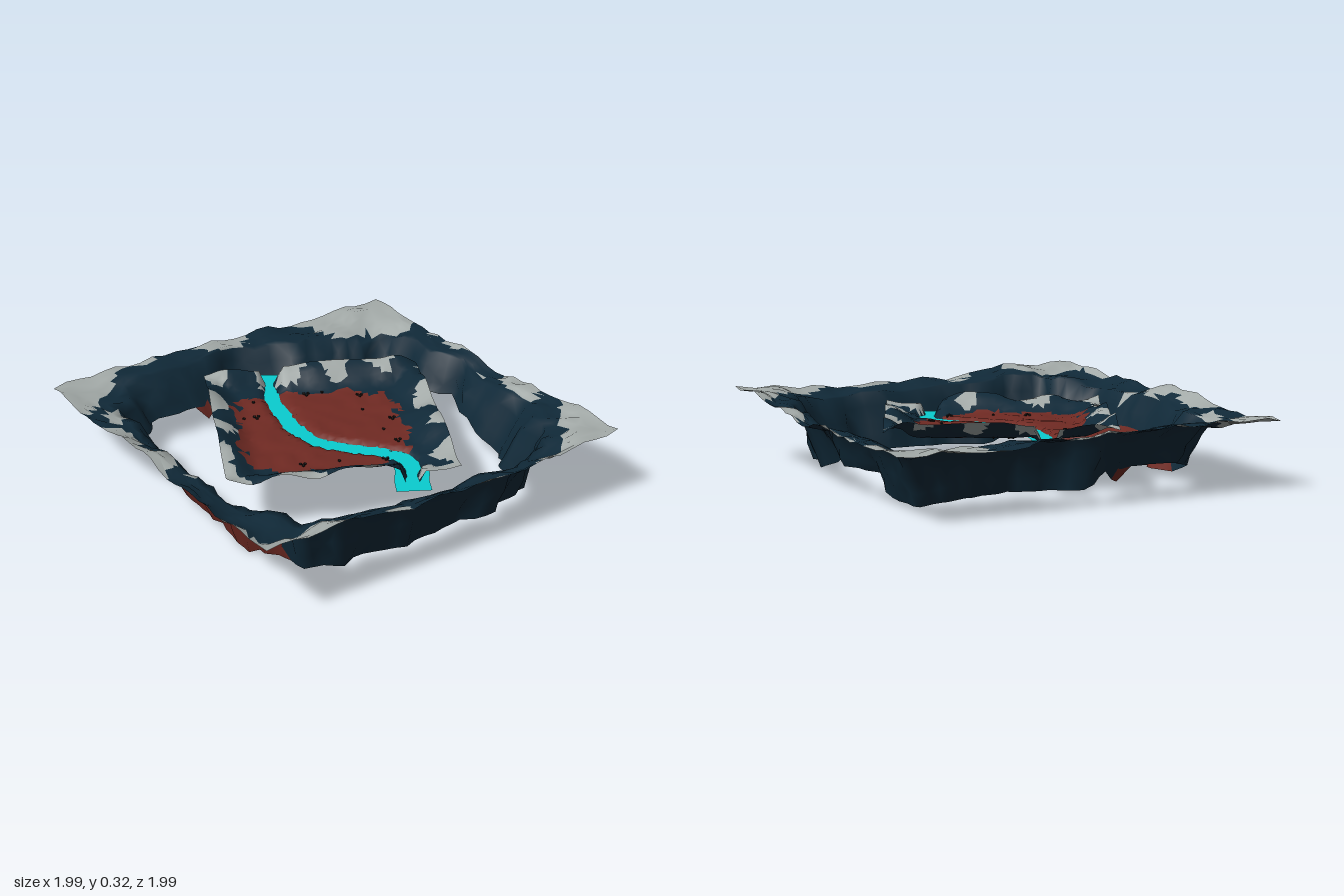
import * as THREE from 'three';

const COLORS = { soil: 0x102938, rock: 0xa3aaa8, clay: 0x702a23, water: 0x0acdd0, pebble: 0x14100f };

// Repeatable value noise, roughly -1..1
const hash = (i, j) => {
  const s = Math.sin(i * 127.1 + j * 311.7) * 43758.5453;
  return (s - Math.floor(s)) * 2 - 1;
};
function noise(x, z, freq) {
  const a = x * freq, b = z * freq, i = Math.floor(a), j = Math.floor(b);
  const fx = THREE.MathUtils.smoothstep(a - i, 0, 1), fz = THREE.MathUtils.smoothstep(b - j, 0, 1);
  const lerp = THREE.MathUtils.lerp;
  return lerp(lerp(hash(i, j), hash(i + 1, j), fx), lerp(hash(i, j + 1), hash(i + 1, j + 1), fx), fz);
}

const material = (key) => new THREE.MeshStandardMaterial({ color: COLORS[key], side: THREE.DoubleSide });

// Smooth sheet from rows of points, split into one mesh per ground colour
function terrain(name, rows, closed, classify) {
  const n = rows[0].length, pos = [], all = [], sets = { soil: [], rock: [], clay: [] };
  rows.forEach((r) => r.forEach((p) => pos.push(p.x, p.y, p.z)));
  const points = rows.flat();
  const add = (...tri) => {
    all.push(...tri);
    const c = new THREE.Vector3();
    tri.forEach((k) => c.addScaledVector(points[k], 1 / 3));
    sets[classify(c)].push(...tri);
  };
  for (let r = 0; r < rows.length - 1; r++) {
    for (let i = 0; i < (closed ? n : n - 1); i++) {
      const j = (i + 1) % n, a = r * n + i, b = r * n + j, c = a + n, d = b + n;
      if ((i + r) % 2) { add(a, c, b); add(b, c, d); } else { add(a, c, d); add(a, d, b); }
    }
  }
  const base = new THREE.BufferGeometry();
  base.setAttribute('position', new THREE.Float32BufferAttribute(pos, 3));
  base.setIndex(all);
  base.computeVertexNormals();
  const group = new THREE.Group();
  group.name = name;
  for (const key of Object.keys(sets)) {
    const g = new THREE.BufferGeometry();
    g.setAttribute('position', base.attributes.position);
    g.setAttribute('normal', base.attributes.normal);
    g.setIndex(sets[key]);
    const mesh = new THREE.Mesh(g, material(key));
    mesh.name = `${name}_${key}`;
    group.add(mesh);
  }
  return group;
}

// Outer cliff frame: turned square rim, dropping to a ragged lower edge
const HALF = 0.746, COS = 0.904, SIN = 0.427;
const LOWER_EDGE = [ // x, z, y
  [-0.03, -0.49, 0.03], [0.12, -0.55, 0.02], [0.3, -0.62, 0], [0.38, -0.52, 0.02], [0.43, -0.42, 0.09],
  [0.54, -0.35, 0.1], [0.55, -0.2, 0.1], [0.6, -0.03, 0.05], [0.66, 0, 0.03], [0.62, 0.14, 0.04],
  [0.69, 0.2, 0.03], [0.68, 0.28, 0.03], [0.55, 0.36, 0.03], [0.52, 0.43, 0.03], [0.38, 0.46, 0.03],
  [0, 0.62, 0.02], [-0.06, 0.7, 0.04], [-0.18, 0.72, 0.05], [-0.28, 0.57, 0.03], [-0.37, 0.49, 0],
  [-0.42, 0.34, 0.02], [-0.54, 0.1, 0.03], [-0.56, -0.04, 0.03], [-0.64, -0.12, 0.03], [-0.67, -0.21, 0.07],
  [-0.62, -0.33, 0.1], [-0.44, -0.4, 0.1], [-0.4, -0.42, 0.02], [-0.37, -0.46, 0.1], [-0.28, -0.58, 0.05],
  [-0.15, -0.53, 0.04],
].map(([x, z, y]) => ({ a: Math.atan2(z, x), r: Math.hypot(x, z), y })).sort((p, q) => p.a - q.a);

function lowerEdge(a) {
  const m = LOWER_EDGE.length;
  let k = LOWER_EDGE.findIndex((p) => p.a > a);
  if (k < 0) k = 0;
  const p = LOWER_EDGE[(k + m - 1) % m], q = LOWER_EDGE[k], turn = 2 * Math.PI;
  const t = ((a - p.a + turn) % turn) / ((q.a - p.a + turn) % turn);
  const r = THREE.MathUtils.lerp(p.r, q.r, t) + 0.015 * hash(Math.round(a * 60), 5);
  return new THREE.Vector3(r * Math.cos(a), THREE.MathUtils.lerp(p.y, q.y, t), r * Math.sin(a));
}

const toLocal = (p) => [p.x * COS - p.z * SIN, p.x * SIN + p.z * COS];

// Depth of the stony cover, measured inward from the rim's outer edge
function stoneReach(x, z) {
  const [u, v] = toLocal({ x, z });
  const corner = Math.max(0, Math.min(Math.abs(u), Math.abs(v)) - 0.4);
  const backCorner = Math.max(0, 1 - Math.hypot(x - 0.22, z + 0.8) / 0.32);
  return -0.03 + 0.6 * corner + 0.22 * backCorner + 0.18 * noise(x + 3, z, 8);
}
const rimInset = (x, z) => HALF - Math.max(...toLocal({ x, z }).map(Math.abs));

function cliffFrame() {
  const perSide = 28, rim = 6, wall = 4;
  const rows = Array.from({ length: rim + wall + 1 }, () => []);
  for (let i = 0; i < perSide * 4; i++) {
    const side = Math.floor(i / perSide), s = ((i % perSide) / perSide) * 2 - 1;
    const [u, v] = [[s, -1], [1, s], [-s, 1], [-1, -s]][side].map((k) => k * HALF);
    const outer = new THREE.Vector3(u * COS + v * SIN, 0, -u * SIN + v * COS);
    const low = lowerEdge(Math.atan2(outer.z, outer.x));
    const brink = 0.5 + 0.3 * Math.abs(s) ** 3;
    rows.forEach((row, k) => {
      const onRim = k <= rim, w = onRim ? 0 : (k - rim) / wall;
      const t = onRim ? (brink * k) / rim : brink + (1 - brink) * w ** 0.8;
      const p = outer.clone().lerp(low, t);
      // bumpy ledge falling inward, stones standing proud of the soil
      const stone = THREE.MathUtils.clamp((stoneReach(p.x, p.z) - rimInset(p.x, p.z)) / 0.05, 0, 1);
      const ledge = 0.26 + 0.028 * p.z + 0.022 * noise(p.x, p.z, 7) + 0.012 * noise(p.x, p.z, 17)
        - 0.02 * Math.min(1, k / rim) + 0.012 * stone
        - 0.03 * Math.max(0, 1 - Math.hypot(p.x - 0.33, p.z + 0.72) / 0.2);
      p.y = THREE.MathUtils.lerp(ledge, low.y, w);
      if (k > 0 && k < rim + wall) {
        p.x += 0.009 * hash(i, k);
        p.z += 0.009 * hash(k, i);
      }
      row.push(p);
    });
  }
  return terrain('cliffFrame', rows, true, (c) => {
    const [u, v] = toLocal(c);
    if (u < -0.42 && v > -0.36 && v < 0.47 && c.y < 0.13 + 0.03 * noise(c.x, c.z, 20)) return 'clay';
    if (c.y < 0.085 && Math.hypot(c.x + 0.4, c.z + 0.42) < 0.06) return 'clay';
    return c.y > 0.2 && rimInset(c.x, c.z) < stoneReach(c.x, c.z) ? 'rock' : 'soil';
  });
}

// Winding river centre line
const WATER_Y = 0.175;
const river = new THREE.CatmullRomCurve3([
  [-0.155, -0.49], [-0.165, -0.4], [-0.17, -0.27], [-0.15, -0.15], [-0.11, -0.02], [-0.05, 0.08],
  [0.07, 0.15], [0.19, 0.2], [0.24, 0.25], [0.25, 0.33], [0.235, 0.4], [0.23, 0.475],
].map(([x, z]) => new THREE.Vector3(x, WATER_Y, z)));
const riverPoints = river.getSpacedPoints(120);
const riverDistance = (x, z) => Math.min(...riverPoints.map((p) => Math.hypot(p.x - x, p.z - z)));

function riverSheet() {
  const steps = 48, pos = [], index = [];
  for (let i = 0; i <= steps; i++) {
    const p = river.getPointAt(i / steps), t = river.getTangentAt(i / steps);
    const h = 0.053 + 0.01 * (i / steps);
    pos.push(p.x - t.z * h, p.y, p.z + t.x * h, p.x + t.z * h, p.y, p.z - t.x * h);
    const a = i * 2;
    if (i < steps) index.push(a, a + 2, a + 1, a + 1, a + 2, a + 3);
  }
  const g = new THREE.BufferGeometry();
  g.setAttribute('position', new THREE.Float32BufferAttribute(pos, 3));
  g.setIndex(index);
  g.computeVertexNormals();
  const mesh = new THREE.Mesh(g, material('water'));
  mesh.name = 'river';
  return mesh;
}

// Central basin: clay floor, raised rocky border, river bed cut through it
const edgeDistance = (x, z) => 0.415 - Math.max(Math.abs(x + 0.005), Math.abs(z));
function basinHeight(x, z) {
  const rise = 1 - THREE.MathUtils.smoothstep(edgeDistance(x, z), 0.0, 0.13);
  const ground = 0.187 + rise * (0.05 + 0.03 * noise(x + 7, z, 9)) + 0.004 * noise(x, z, 22);
  const bank = THREE.MathUtils.smoothstep(riverDistance(x, z) + 0.006 * noise(x, z, 40), 0.012, 0.046);
  return THREE.MathUtils.lerp(0.158, ground, bank);
}

function basin() {
  const n = 38, rows = [];
  for (let j = 0; j <= n; j++) {
    const row = [];
    for (let i = 0; i <= n; i++) {
      let x = -0.42 + (0.83 * i) / n, z = -0.415 + (0.83 * j) / n;
      if (i > 0 && i < n) x += 0.005 * hash(i, j);
      if (j > 0 && j < n) z += 0.005 * hash(j, i + 50);
      row.push(new THREE.Vector3(x, basinHeight(x, z), z));
    }
    rows.push(row);
  }
  return terrain('basin', rows, false, (c) => {
    const e = edgeDistance(c.x, c.z);
    const roundness = Math.abs(c.x + 0.03) ** 4 + Math.abs(c.z) ** 4;
    if (roundness ** 0.25 < 0.305 + 0.025 * noise(c.x, c.z, 20)) return 'clay';
    return c.y > 0.18 && e < 0.01 + 0.1 * noise(c.x + 5, c.z + 2, 11) ? 'rock' : 'soil';
  });
}

// Small dark pebbles scattered on the clay
function pebbles() {
  const group = new THREE.Group();
  group.name = 'pebbles';
  const geo = new THREE.DodecahedronGeometry(0.006), mat = material('pebble');
  const spots = [[-0.25, -0.24], [-0.05, -0.29], [0.02, -0.29], [0.15, -0.25], [-0.3, -0.12], [-0.26, -0.13],
    [0.15, -0.13], [0.24, -0.05], [0.2, 0.04], [0.23, 0.12], [0.2, 0.18], [-0.14, 0.25], [0, 0.25], [0.16, 0.25]];
  spots.forEach(([x, z], k) => {
    for (let m = 0; m < 1 + (k % 2) * 2; m++) {
      const px = x + [0, 0.016, 0.008][m], pz = z + [0, 0, 0.014][m];
      const stone = new THREE.Mesh(geo, mat);
      stone.name = 'pebble';
      stone.position.set(px, basinHeight(px, pz) + 0.002, pz);
      group.add(stone);
    }
  });
  return group;
}

export function createModel() {
  const model = new THREE.Group();
  model.name = 'canyonTerrain';
  model.add(cliffFrame(), basin(), riverSheet(), pebbles());
  return model;
}
